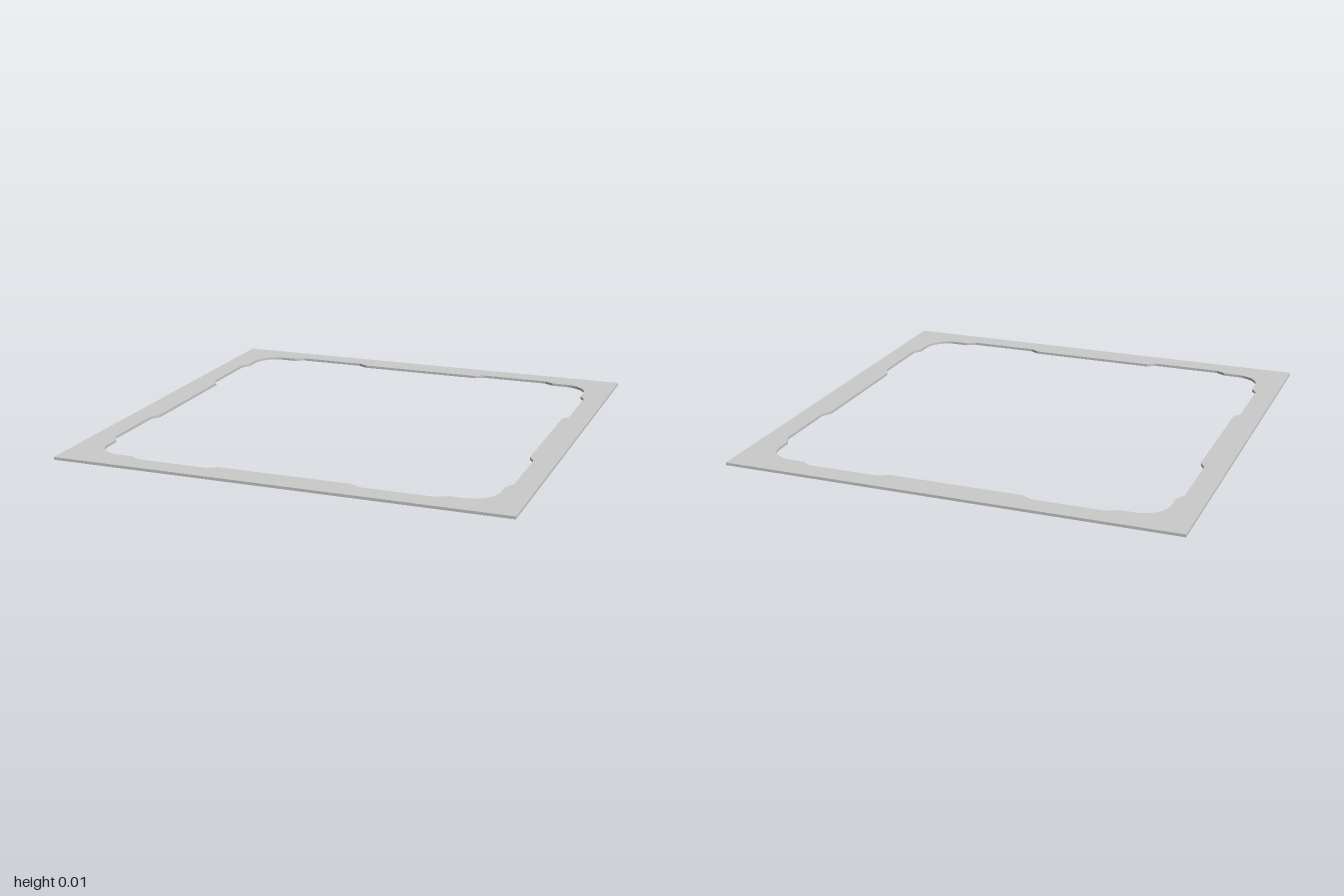
import * as THREE from 'three';

const HALF = 1;         // outer half width
const INNER = 0.876;    // opening half width
const RECESS = 0.901;   // half width at the shallow recesses
const RADIUS = 0.116;   // opening corner radius
const THICKNESS = 0.012;

// One side of the opening: two bevelled recesses, then a rounded corner.
function openingSide() {
  const half = [[0.295, INNER], [0.337, RECESS], [0.653, RECESS], [0.696, INNER]];
  const points = [
    ...half.map(([x, d]) => new THREE.Vector2(-x, -d)).reverse(),
    ...half.map(([x, d]) => new THREE.Vector2(x, -d)),
  ];
  const c = INNER - RADIUS, steps = 16;
  for (let i = 0; i <= steps; i++) {
    const a = -Math.PI / 2 + (i / steps) * Math.PI / 2;
    points.push(new THREE.Vector2(c + RADIUS * Math.cos(a), -c + RADIUS * Math.sin(a)));
  }
  return points;
}

export function createModel() {
  const group = new THREE.Group();
  group.name = 'squareGasket';

  // Square outline
  const shape = new THREE.Shape([
    new THREE.Vector2(-HALF, -HALF), new THREE.Vector2(HALF, -HALF),
    new THREE.Vector2(HALF, HALF), new THREE.Vector2(-HALF, HALF),
  ]);

  // Opening: the same side turned four times
  const centre = new THREE.Vector2();
  const opening = [];
  for (let k = 0; k < 4; k++) {
    for (const p of openingSide()) opening.push(p.rotateAround(centre, k * Math.PI / 2));
  }
  shape.holes.push(new THREE.Path(opening));

  // Thin flat plate lying on the ground
  const geometry = new THREE.ExtrudeGeometry(shape, { depth: THICKNESS, bevelEnabled: false });
  geometry.rotateX(-Math.PI / 2);
  const frame = new THREE.Mesh(geometry, new THREE.MeshStandardMaterial({ color: 0xcccccc }));
  frame.name = 'framePlate';
  group.add(frame);
  return group;
}
